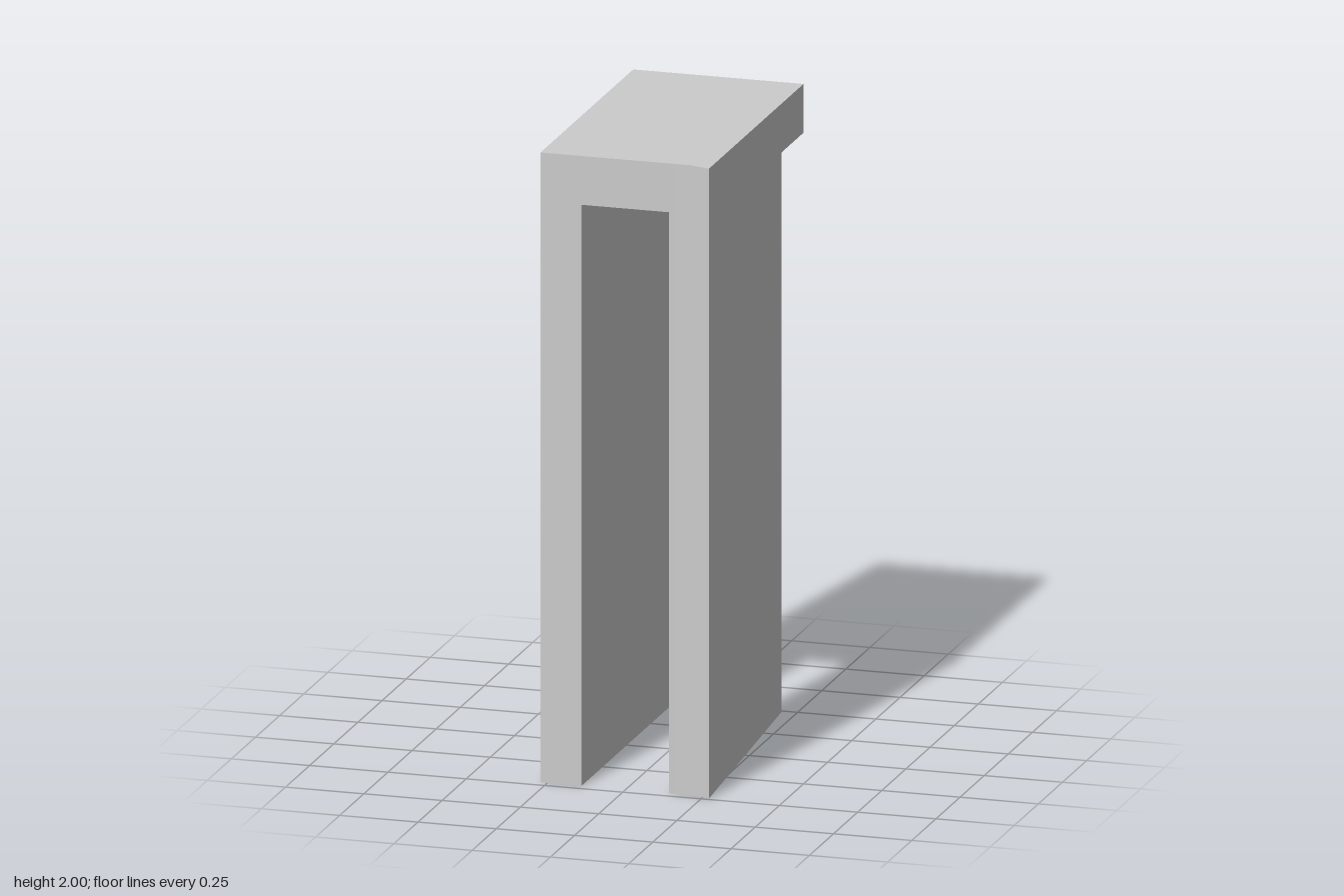
import * as THREE from 'three';
import { toCreasedNormals } from 'three/addons/utils/BufferGeometryUtils.js';

const material = new THREE.MeshStandardMaterial({ color: 0xcccccc });

// Upright prism from a plan outline of [x, z] corners
function prism(name, plan, bottom, top) {
  const shape = new THREE.Shape(plan.map(([x, z]) => new THREE.Vector2(x, -z)));
  const geometry = new THREE.ExtrudeGeometry(shape, { depth: top - bottom, bevelEnabled: false });
  geometry.rotateX(-Math.PI / 2).translate(0, bottom, 0);
  const mesh = new THREE.Mesh(toCreasedNormals(geometry, 0.4), material);
  mesh.name = name;
  return mesh;
}

export function createModel() {
  const group = new THREE.Group();
  group.name = 'archFrame';
  const outer = 0.272, inner = 0.138, back = -0.49, front = 0.47, lip = 0.49;
  const lipStart = 0.207, underside = 1.845, height = 2;

  // Top slab with a small flared front corner
  group.add(prism('topSlab', [
    [-outer, front], [inner, front], [lipStart, front], [outer, lip], [outer, back], [-outer, back],
  ], underside, height));

  // Straight leg
  group.add(prism('rightLeg', [
    [-outer, front], [-0.141, front], [-0.141, back], [-outer, back],
  ], 0, underside));

  // Leg whose outer face tapers inward toward the back
  group.add(prism('leftLeg', [
    [inner, front], [lipStart, front], [outer, lip], [0.202, back], [inner, back],
  ], 0, underside));

  return group;
}
